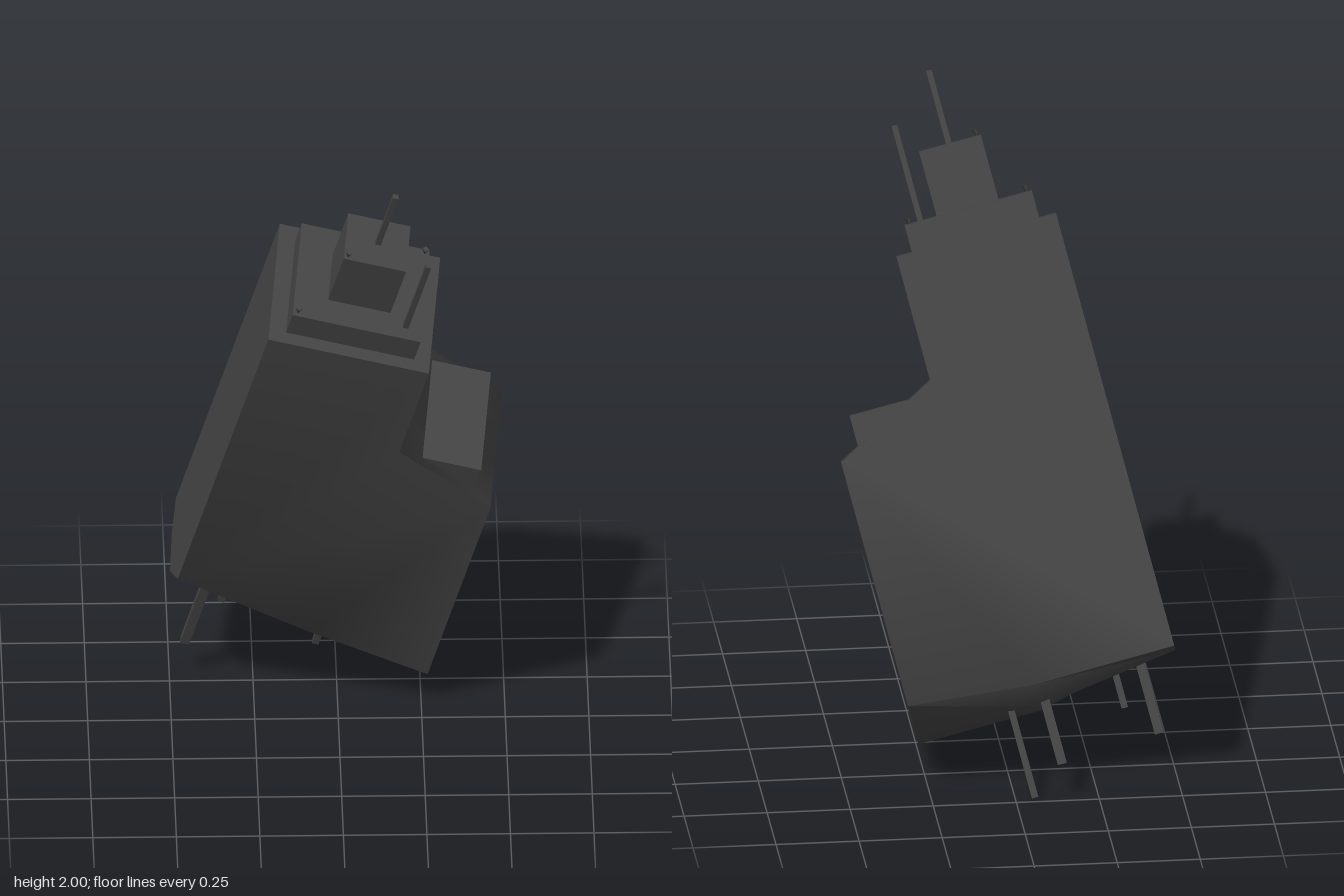
import * as THREE from 'three';
import { toCreasedNormals } from 'three/addons/utils/BufferGeometryUtils.js';

export function createModel() {
  const model = new THREE.Group();
  const tower = new THREE.Group();
  tower.name = 'leaningTower';
  tower.rotation.set(0.398, 0, -0.2454, 'ZYX');
  model.add(tower);

  const darkGrey = new THREE.MeshStandardMaterial({ color: 0x444444 });
  darkGrey.name = 'darkGrey';

  const add = (name, geometry) => {
    const mesh = new THREE.Mesh(geometry, darkGrey);
    mesh.name = name;
    tower.add(mesh);
    return mesh;
  };
  // Box given by its minimum and maximum on each axis
  const box = (name, x0, x1, y0, y1, z0, z1) =>
    add(name, new THREE.BoxGeometry(x1 - x0, y1 - y0, z1 - z0))
      .position.set((x0 + x1) / 2, (y0 + y1) / 2, (z0 + z1) / 2);
  const rod = (name, x, z, y0, y1, w) =>
    box(name, x - w / 2, x + w / 2, y0, y1, z - w / 2, z + w / 2);

  // Body: stepped outline pushed from back to front, with a bulging underside
  const columns = [-0.5815, -0.15, 0.235];
  const rows = [-0.602, -0.48, -0.297, -0.148];
  const underside = [
    [0.142, 0.14, 0.178],
    [0.128, 0.07, 0.125],
    [0.165, 0.058, 0.057],
    [0.313, 0.2, 0.121],
  ];
  const outline = [
    ...columns.map((x) => [x, 0]),
    [0.235, 0.934], [-0.0865, 1.1], [-0.0865, 1.4825], [-0.5815, 1.4825],
  ];
  const body = new THREE.ExtrudeGeometry(
    new THREE.Shape(outline.map(([x, y]) => new THREE.Vector2(x, y))),
    { depth: 3, steps: 3, bevelEnabled: false });
  const p = body.attributes.position;
  for (let i = 0; i < p.count; i++) {
    const row = Math.round(p.getZ(i));
    p.setZ(i, rows[row]);
    if (p.getY(i) < 0.001) {
      const col = columns.findIndex((x) => Math.abs(x - p.getX(i)) < 0.001);
      p.setY(i, underside[row][col]);
    }
  }
  body.deleteAttribute('normal');
  body.deleteAttribute('uv');
  add('body', toCreasedNormals(body, 1.12));

  // Roof tiers and the block on the lower shoulder
  box('roofTier', -0.53, -0.135, 1.47, 1.567, -0.55, -0.19);
  box('roofBlock', -0.427, -0.235, 1.56, 1.768, -0.456, -0.278);
  box('shoulderBlock', -0.007, 0.174, 0.92, 1.06, -0.561, -0.178);

  // Antennas
  rod('tallAntenna', -0.328, -0.366, 1.76, 1.995, 0.017);
  rod('sideAntenna', -0.185, -0.24, 1.56, 1.862, 0.017);

  // Small roof nubs, wider at the top
  for (const [x, y, z] of [
    [-0.515, 1.567, -0.205], [-0.15, 1.567, -0.535], [-0.415, 1.768, -0.29],
  ]) add('roofNub', new THREE.CylinderGeometry(0.011, 0.003, 0.02, 4)).position.set(x, y + 0.01, z);

  // Rods hanging from the underside
  for (const [x, z, y, w] of [
    [-0.06, -0.445, -0.188, 0.02],
    [-0.165, -0.488, -0.112, 0.028],
    [-0.47, -0.27, -0.102, 0.028],
    [-0.39, -0.37, 0, 0.02],
  ]) rod('hangingRod', x, z, y, 0.22, w);

  return model;
}
